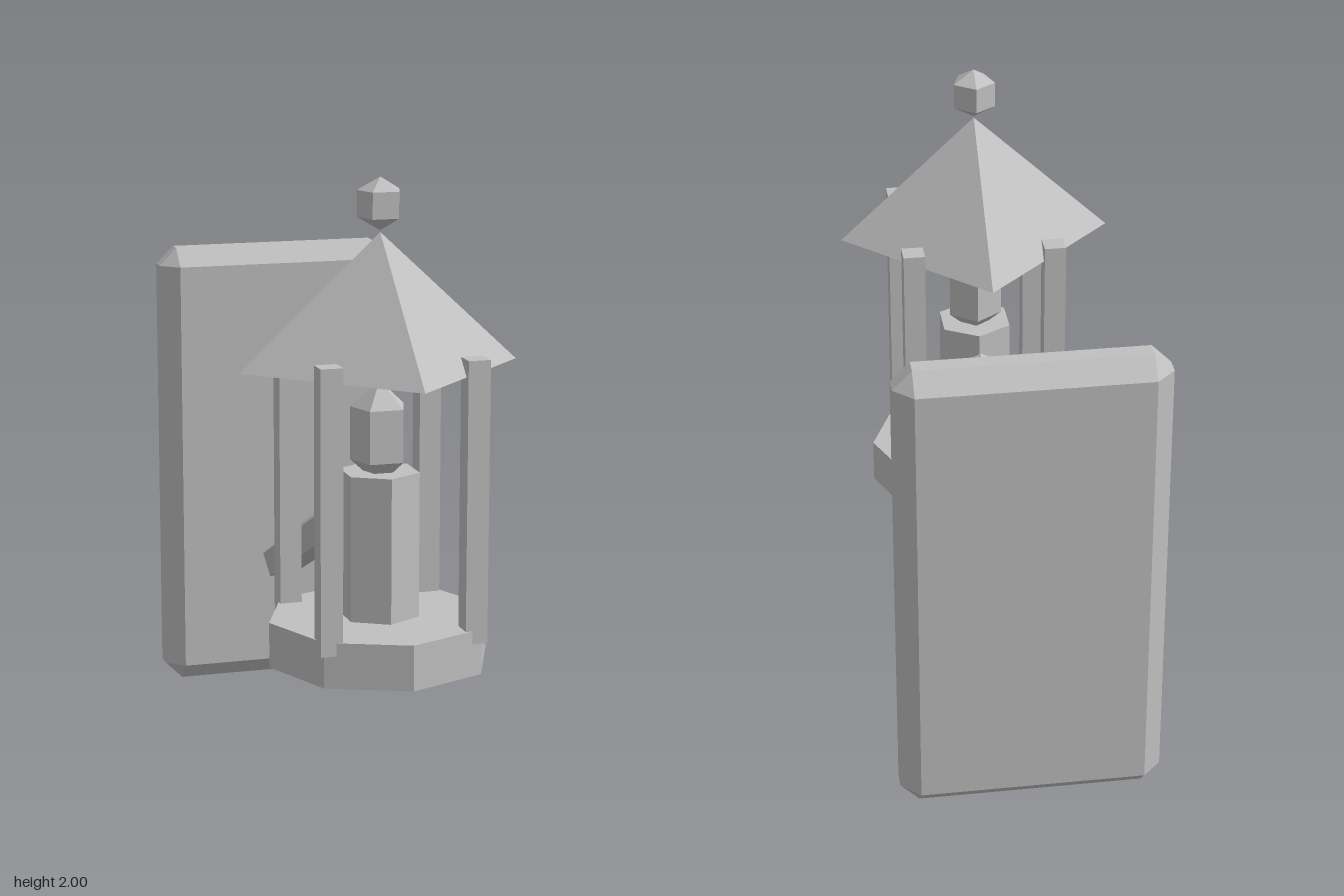
import * as THREE from 'three';
import { ConvexGeometry } from 'three/addons/geometries/ConvexGeometry.js';

export function createModel() {
  const model = new THREE.Group();
  model.name = 'wallLantern';
  const grey = new THREE.MeshStandardMaterial({ color: 0xc0c0c0, flatShading: true });
  grey.name = 'grey';

  const add = (parent, name, geometry, x, y, z) => {
    const mesh = new THREE.Mesh(geometry, grey);
    mesh.name = name;
    mesh.position.set(x, y, z);
    parent.add(mesh);
    return mesh;
  };

  // Box with every edge and corner cut off by the bevel b
  const chamferedBox = (w, h, d, b) => {
    const points = [];
    for (const sx of [-1, 1]) for (const sy of [-1, 1]) for (const sz of [-1, 1]) {
      for (let full = 0; full < 3; full++) {
        const half = [w, h, d].map((s, i) => s / 2 - (i === full ? 0 : b));
        points.push(new THREE.Vector3(sx * half[0], sy * half[1], sz * half[2]));
      }
    }
    return new ConvexGeometry(points);
  };

  // Five-sided faceted ball with three rows of faces, a corner pointing back
  const facetedBall = (radius, halfHeight) => {
    const r = radius;
    const profile = [[0, -halfHeight], [r, -halfHeight / 2], [r, halfHeight / 2], [0, halfHeight]];
    return new THREE.LatheGeometry(profile.map(([x, y]) => new THREE.Vector2(x, y)), 5, Math.PI);
  };

  // Wall plate
  add(model, 'wallPlate', chamferedBox(0.86, 1.61, 0.18, 0.062), 0, 0.805, -0.835);

  // Sloping five-sided arm, ridge upwards
  const start = new THREE.Vector3(0, 0.93, 0.338);
  const end = new THREE.Vector3(0, 0.42, -0.802);
  const armGeometry = new THREE.CylinderGeometry(0.073, 0.073, start.distanceTo(end), 5);
  armGeometry.rotateX(-Math.PI / 2); // corner at +z turns to +y, axis along z
  const arm = add(model, 'arm', armGeometry, 0, 0, 0);
  arm.position.copy(start).add(end).multiplyScalar(0.5);
  arm.rotation.x = -Math.atan2(start.y - end.y, start.z - end.z);

  // Lantern
  const lantern = new THREE.Group();
  lantern.name = 'lantern';
  lantern.position.z = 0.462;
  model.add(lantern);

  add(lantern, 'base', new THREE.CylinderGeometry(0.37, 0.37, 0.15, 8), 0, 0.498, 0);
  add(lantern, 'candle', new THREE.CylinderGeometry(0.133, 0.133, 0.48, 6), 0, 0.813, 0);
  add(lantern, 'flame', facetedBall(0.095, 0.173), 0, 1.177, 0);
  add(lantern, 'roof', new THREE.ConeGeometry(0.462, 0.43, 4), 0, 1.61, 0);
  add(lantern, 'finial', facetedBall(0.0736, 0.085), 0, 1.915, 0);

  for (const x of [-0.24, 0.24]) for (const z of [-0.24, 0.24]) {
    add(lantern, 'post', new THREE.BoxGeometry(0.073, 0.92, 0.073), x, 0.99, z);
  }
  return model;
}
